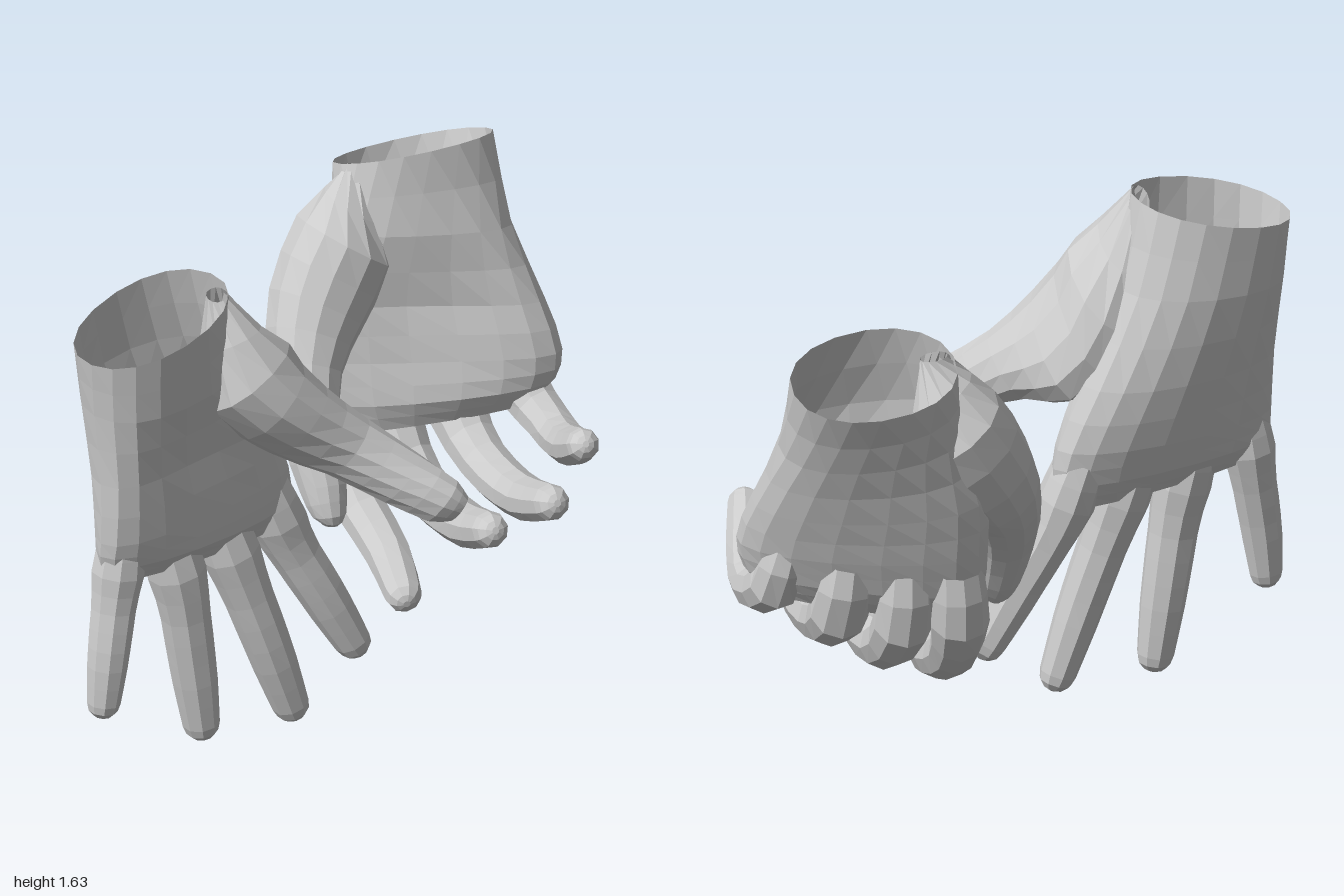
import * as THREE from 'three';

const V = (x, y, z) => new THREE.Vector3(x, y, z);
const material = new THREE.MeshStandardMaterial({ color: 0xcccccc, flatShading: true, side: THREE.DoubleSide });

// Skin rings of equal length; the first ring stays open, the last one is closed by a fan.
function loft(rings) {
  const n = rings[0].length, pos = [], idx = [];
  const end = rings[rings.length - 1].reduce((s, p) => s.add(p), V(0, 0, 0)).divideScalar(n);
  [...rings.flat(), end].forEach((p) => pos.push(p.x, p.y, p.z));
  rings.forEach((_, i) => {
    for (let j = 0; j < n; j++) {
      const a = i * n + j, b = i * n + (j + 1) % n;
      if (i < rings.length - 1) idx.push(a, b, a + n, b, b + n, a + n);
      else idx.push(a, b, rings.length * n);
    }
  });
  const g = new THREE.BufferGeometry();
  g.setAttribute('position', new THREE.Float32BufferAttribute(pos, 3));
  g.setIndex(idx);
  g.computeVertexNormals();
  return g;
}

const lerpList = (list, t) => {
  const f = t * (list.length - 1), i = Math.min(Math.floor(f), list.length - 2);
  return THREE.MathUtils.lerp(list[i], list[i + 1], f - i);
};

// Flattened body from sections: [one edge, other edge, half thickness, hollow of the front, tilt]
function body(sections, sides) {
  const edges = [0, 1].map((k) => new THREE.CatmullRomCurve3(sections.map((s) => V(...s[k]))));
  const [thicks, hollows, tilts] = [2, 3, 4].map((k) => sections.map((s) => s[k] || 0));
  const rings = [], steps = (sections.length - 1) * 2;
  const soft = (x) => Math.sign(x) * Math.abs(x) ** 0.93;
  for (let i = 0; i <= steps; i++) {
    const t = i / steps, [a, b] = edges.map((e) => e.getPoint(t));
    const c = a.clone().add(b).multiplyScalar(0.5), u = b.clone().sub(c);
    const along = edges[0].getTangent(t).add(edges[1].getTangent(t));
    const n = along.cross(u).normalize();
    n.y += lerpList(tilts, t);
    rings.push(Array.from({ length: sides }, (_, j) => {
      const th = (j / sides) * Math.PI * 2, s = Math.sin(th);
      const depth = lerpList(thicks, t) * soft(s) * (s > 0 ? 1 - lerpList(hollows, t) * s * s : 1);
      return c.clone().addScaledVector(u, soft(Math.cos(th))).addScaledVector(n, depth);
    }));
  }
  return loft(rings);
}

// Finger swept along a path with varying radius and a rounded tip at the last point
function finger(path, scale, sides = 9) {
  const radii = [0.08, 0.096, 0.08, 0.077, 0.071, 0.059].map((r) => r * scale);
  const curve = new THREE.CatmullRomCurve3(path.map((p) => V(...p)));
  const tip = radii[radii.length - 1], start = 1 - tip / curve.getLength(), rings = [];
  const addRing = (t, r) => {
    const c = curve.getPointAt(t), d = curve.getTangentAt(t);
    const u = V(1, 0, 0.15).addScaledVector(d, -d.dot(V(1, 0, 0.15))).normalize();
    const v = d.clone().cross(u);
    rings.push(Array.from({ length: sides }, (_, j) => {
      const th = (j / sides) * Math.PI * 2;
      return c.clone().addScaledVector(u, r * Math.cos(th)).addScaledVector(v, r * Math.sin(th));
    }));
  };
  for (let i = 0; i <= 9; i++) addRing((i / 9) * start, lerpList(radii, i / 9));
  for (const k of [0.5, 0.85, 0.98]) addRing(start + (1 - start) * k, tip * Math.sqrt(1 - k * k));
  return loft(rings);
}

const hands = {
  // Open hand hanging straight down
  rightHand: {
    palm: [
      [[-1.0, 1.52, -0.03], [-0.48, 1.64, -0.04], 0.205, 0, 0.12],
      [[-0.97, 1.32, -0.05], [-0.41, 1.36, -0.04], 0.2, 0.1],
      [[-0.95, 1.07, -0.04], [-0.27, 1.07, -0.04], 0.17, 0.4],
      [[-0.95, 0.86, -0.04], [-0.18, 0.87, -0.03], 0.135, 0.2],
      [[-0.94, 0.77, -0.05], [-0.17, 0.75, -0.02], 0.105],
      [[-0.88, 0.7, -0.05], [-0.21, 0.66, -0.02], 0.055],
    ],
    // Ball of the thumb running into the thumb: outer edge, then web edge
    thumb: [
      [[-0.56, 1.63, 0.1], [-0.5, 1.6, -0.02], 0.03],
      [[-0.5, 1.41, 0.26], [-0.4, 1.22, -0.08], 0.16],
      [[-0.36, 1.24, 0.33], [-0.24, 1.02, -0.01], 0.125],
      [[-0.22, 1.12, 0.38], [-0.18, 0.97, 0.18], 0.1],
      [[-0.1, 1.02, 0.49], [-0.1, 0.88, 0.35], 0.087],
      [[-0.02, 0.95, 0.58], [-0.04, 0.82, 0.47], 0.07],
      [[0.01, 0.9, 0.6], [0.0, 0.82, 0.53], 0.04],
    ],
    indexFinger: [[-0.27, 0.82, -0.03], [-0.2, 0.62, 0], [-0.1, 0.4, 0.06], [0.01, 0.16, 0.12]],
    middleFinger: [[-0.47, 0.81, -0.04], [-0.42, 0.62, 0], [-0.33, 0.32, 0.05], [-0.23, 0.01, 0.08]],
    ringFinger: [[-0.67, 0.81, -0.05], [-0.63, 0.6, -0.02], [-0.59, 0.33, -0.01], [-0.55, 0.03, 0.0]],
    littleFinger: [[-0.85, 0.85, -0.05], [-0.88, 0.66, -0.05], [-0.92, 0.45, -0.04], [-0.945, 0.24, -0.04]],
  },
  // Turned hand with curled fingers
  leftHand: {
    palm: [
      [[0.47, 1.49, -0.45], [1.0, 1.45, -0.36], 0.185, 0, 0.12],
      [[0.44, 1.26, -0.47], [0.95, 1.21, -0.19], 0.19, 0.15],
      [[0.38, 1.02, -0.5], [0.96, 0.99, -0.05], 0.165, 0.5],
      [[0.37, 0.83, -0.49], [0.97, 0.83, 0.02], 0.135, 0.35],
      [[0.37, 0.68, -0.46], [0.95, 0.73, 0.01], 0.1],
      [[0.4, 0.58, -0.41], [0.89, 0.65, -0.04], 0.055],
    ],
    thumb: [
      [[0.49, 1.49, -0.44], [0.52, 1.46, -0.34], 0.03],
      [[0.32, 1.34, -0.45], [0.58, 1.14, -0.38], 0.16],
      [[0.2, 1.15, -0.44], [0.45, 0.95, -0.38], 0.145],
      [[0.12, 0.95, -0.37], [0.32, 0.84, -0.33], 0.115],
      [[0.065, 0.76, -0.26], [0.245, 0.71, -0.25], 0.092],
      [[0.06, 0.6, -0.18], [0.2, 0.57, -0.17], 0.077],
      [[0.07, 0.51, -0.14], [0.17, 0.5, -0.13], 0.055],
      [[0.1, 0.475, -0.13], [0.14, 0.475, -0.13], 0.03],
    ],
    indexFinger: [[0.45, 0.77, -0.44], [0.43, 0.58, -0.42], [0.38, 0.42, -0.3], [0.31, 0.32, -0.07], [0.18, 0.28, 0.15]],
    middleFinger: [[0.58, 0.77, -0.35], [0.58, 0.58, -0.33], [0.55, 0.44, -0.18], [0.48, 0.43, 0.08], [0.37, 0.55, 0.35]],
    ringFinger: [[0.73, 0.79, -0.25], [0.74, 0.62, -0.22], [0.7, 0.52, -0.07], [0.63, 0.51, 0.18], [0.53, 0.63, 0.46]],
    littleFinger: [[0.87, 0.83, -0.12], [0.89, 0.69, -0.08], [0.87, 0.62, 0.07], [0.8, 0.64, 0.22], [0.68, 0.77, 0.43]],
  },
};

export function createModel() {
  const model = new THREE.Group();
  model.name = 'pairOfHands';
  for (const [handName, parts] of Object.entries(hands)) {
    const hand = new THREE.Group();
    hand.name = handName;
    for (const [partName, data] of Object.entries(parts)) {
      let geometry;
      if (partName === 'palm') geometry = body(data, 18);
      else if (partName === 'thumb') geometry = body(data, 12);
      else geometry = finger(data, partName === 'littleFinger' ? 0.9 : 1);
      const mesh = new THREE.Mesh(geometry, material);
      mesh.name = partName;
      hand.add(mesh);
    }
    model.add(hand);
  }
  return model;
}
